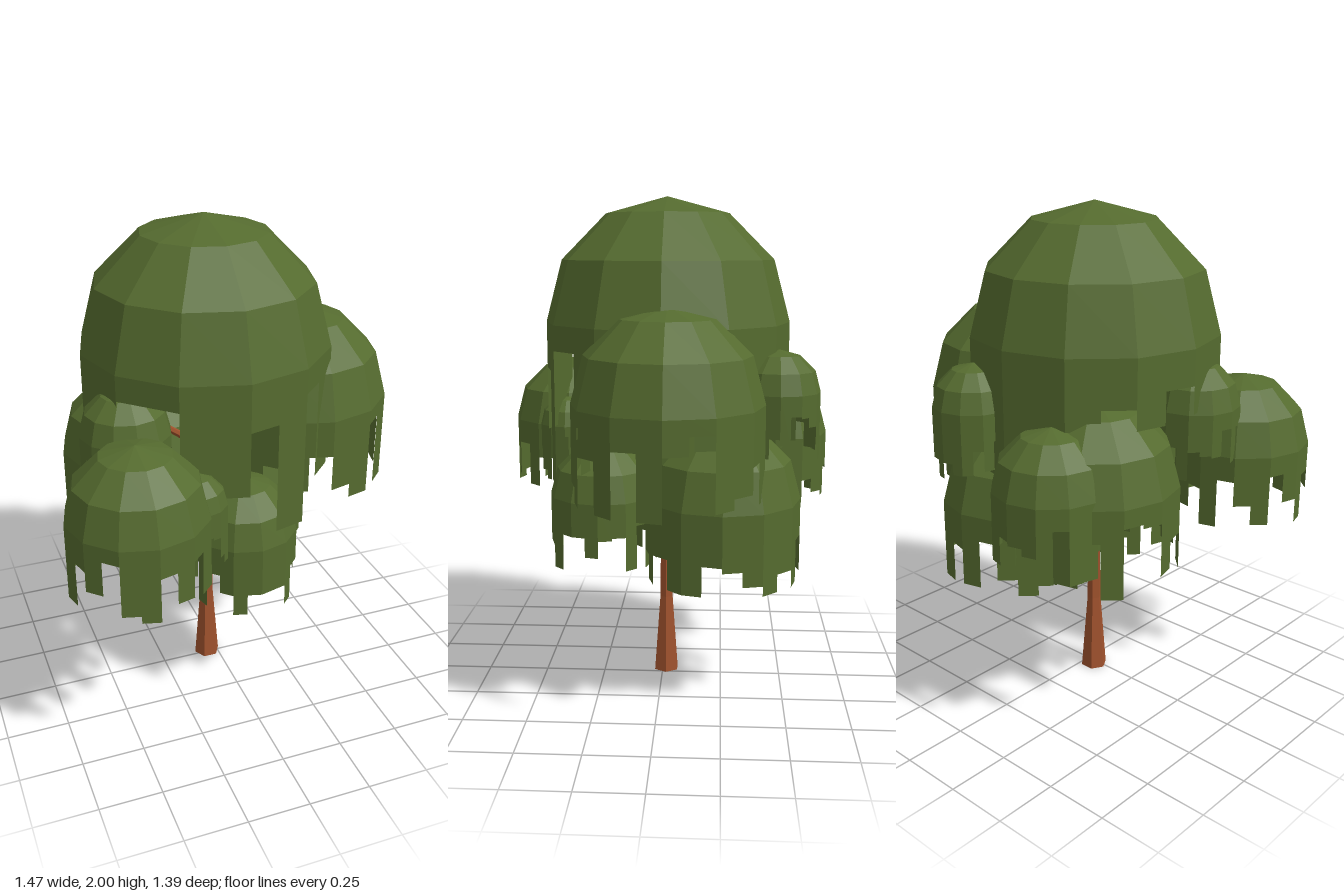
import * as THREE from 'three';

const SIDES = 12;      // facets around each crown
const STRIPS = 24;     // hanging strips, two per facet

// x, z, radius, height of dome rim, shortest and longest hanging strip
const CROWNS = [
  ['mainCrown', -0.047, -0.018, 0.497, 1.503, 0.1, 0.64],
  ['leftCrown', 0.368, -0.04, 0.367, 1.225, 0.05, 0.37],
  ['frontRightCrown', -0.465, 0.42, 0.273, 1.04, 0.05, 0.31],
  ['frontCrown', 0.016, 0.245, 0.22, 0.795, 0.04, 0.3],
  ['backLeftCrown', 0.165, -0.25, 0.31, 0.82, 0.05, 0.32],
  ['backCrown', 0.174, -0.463, 0.163, 1.25, 0.05, 0.27],
  ['backRightCrown', -0.245, -0.467, 0.228, 1.02, 0.05, 0.36],
  ['rightCrown', -0.268, -0.25, 0.322, 0.99, 0.05, 0.36],
  ['smallRightCrown', -0.425, 0.147, 0.178, 1.24, 0.05, 0.32],
  ['smallFrontCrown', -0.245, 0.425, 0.123, 1.045, 0.03, 0.25],
];

// Strip lengths of the larger outer crowns, starting at the front and going to the left
const LENGTHS = {
  mainCrown: [
    0.19, 0.64, 0.1, 0.5, 0.35, 0.2, 0.3, 0.45, 0.15, 0.4, 0.25, 0.5,
    0.45, 0.3, 0.27, 0.19, 0.27, 0.14, 0.25, 0.19, 0.1, 0.1, 0.4, 0.45],
  leftCrown: [
    0.3, 0.36, 0.06, 0.365, 0.12, 0.365, 0.13, 0.06, 0.34, 0.3, 0.2, 0.36,
    0.1, 0.3, 0.25, 0.15, 0.36, 0.2, 0.3, 0.1, 0.36, 0.2, 0.3, 0.15],
  frontRightCrown: [
    0.12, 0.25, 0.1, 0.28, 0.15, 0.3, 0.1, 0.22, 0.3, 0.08, 0.25, 0.15,
    0.3, 0.1, 0.2, 0.28, 0.08, 0.2, 0.3, 0.12, 0.2, 0.06, 0.27, 0.3],
  frontCrown: [
    0.2, 0.2, 0.29, 0.14, 0.14, 0.22, 0.15, 0.14, 0.28, 0.1, 0.25, 0.18,
    0.28, 0.1, 0.2, 0.28, 0.12, 0.25, 0.1, 0.28, 0.12, 0.2, 0.29, 0.2],
  backLeftCrown: [
    0.22, 0.32, 0.2, 0.32, 0.32, 0.2, 0.22, 0.28, 0.32, 0.25, 0.32, 0.15,
    0.3, 0.1, 0.25, 0.32, 0.12, 0.28, 0.2, 0.3, 0.1, 0.28, 0.15, 0.3],
};

function seeded(seed) {
  let s = seed;
  return () => (s = (s * 16807) % 2147483647) / 2147483647;
}

// Ring of flat strips hanging from the dome rim, each with its own length
function skirtGeometry(r, lengths) {
  const rim = (i) => {
    const corner = (k) => {
      const a = (k / SIDES) * Math.PI * 2;
      return new THREE.Vector2(Math.sin(a) * r, Math.cos(a) * r);
    };
    const k = Math.floor(i / 2);
    return i % 2 ? corner(k).lerp(corner(k + 1), 0.5) : corner(k);
  };
  const pos = [];
  lengths.forEach((len, i) => {
    const a = rim(i), b = rim(i + 1);
    pos.push(a.x, 0, a.y, a.x, -len, a.y, b.x, -len, b.y);
    pos.push(a.x, 0, a.y, b.x, -len, b.y, b.x, 0, b.y);
  });
  const g = new THREE.BufferGeometry();
  g.setAttribute('position', new THREE.Float32BufferAttribute(pos, 3));
  g.computeVertexNormals();
  return g;
}

// Tapered straight limb between two points
function limb(from, to, r0, r1, material, name) {
  const dir = to.clone().sub(from);
  const mesh = new THREE.Mesh(new THREE.CylinderGeometry(r1, r0, dir.length(), 6), material);
  mesh.position.copy(from).add(to).multiplyScalar(0.5);
  mesh.quaternion.setFromUnitVectors(new THREE.Vector3(0, 1, 0), dir.normalize());
  mesh.name = name;
  return mesh;
}

export function createModel() {
  const tree = new THREE.Group();
  tree.name = 'weepingTree';
  const leaf = new THREE.MeshStandardMaterial({ color: 0x556b2f, flatShading: true, side: THREE.DoubleSide });
  const bark = new THREE.MeshStandardMaterial({ color: 0xa0522d, flatShading: true });

  // Trunk with flared foot
  const profile = [[0, 0], [0.055, 0], [0.029, 0.33], [0.025, 0.75], [0.012, 1.6], [0, 1.6]]
    .map(([x, y]) => new THREE.Vector2(x, y));
  const trunk = new THREE.Mesh(new THREE.LatheGeometry(profile, 6), bark);
  trunk.position.set(-0.045, 0, -0.015);
  trunk.rotation.y = Math.PI / 6;
  trunk.name = 'trunk';
  tree.add(trunk);

  // Leaf crowns: half dome, hanging strips and a branch reaching inside
  const rand = seeded(4711);
  CROWNS.forEach(([name, x, z, r, rimY, shortest, longest], n) => {
    const crown = new THREE.Group();
    crown.name = name;
    crown.position.set(x, rimY, z);
    const dome = new THREE.Mesh(
      new THREE.SphereGeometry(r, SIDES, 3, 0, Math.PI * 2, 0, Math.PI / 2), leaf);
    dome.name = 'dome';
    const lengths = LENGTHS[name]
      ?? Array.from({ length: STRIPS }, () => THREE.MathUtils.lerp(shortest, longest, rand()));
    const skirt = new THREE.Mesh(skirtGeometry(r, lengths), leaf);
    skirt.name = 'hangingStrips';
    crown.add(dome, skirt);
    tree.add(crown);

    if (n > 0) {
      const start = new THREE.Vector3(-0.045, Math.max(0.64, rimY - 0.21), -0.015);
      const end = new THREE.Vector3(x, rimY + r * 0.6, z);
      tree.add(limb(start, end, 0.017, 0.009, bark, 'branch'));
    }
  });
  return tree;
}
